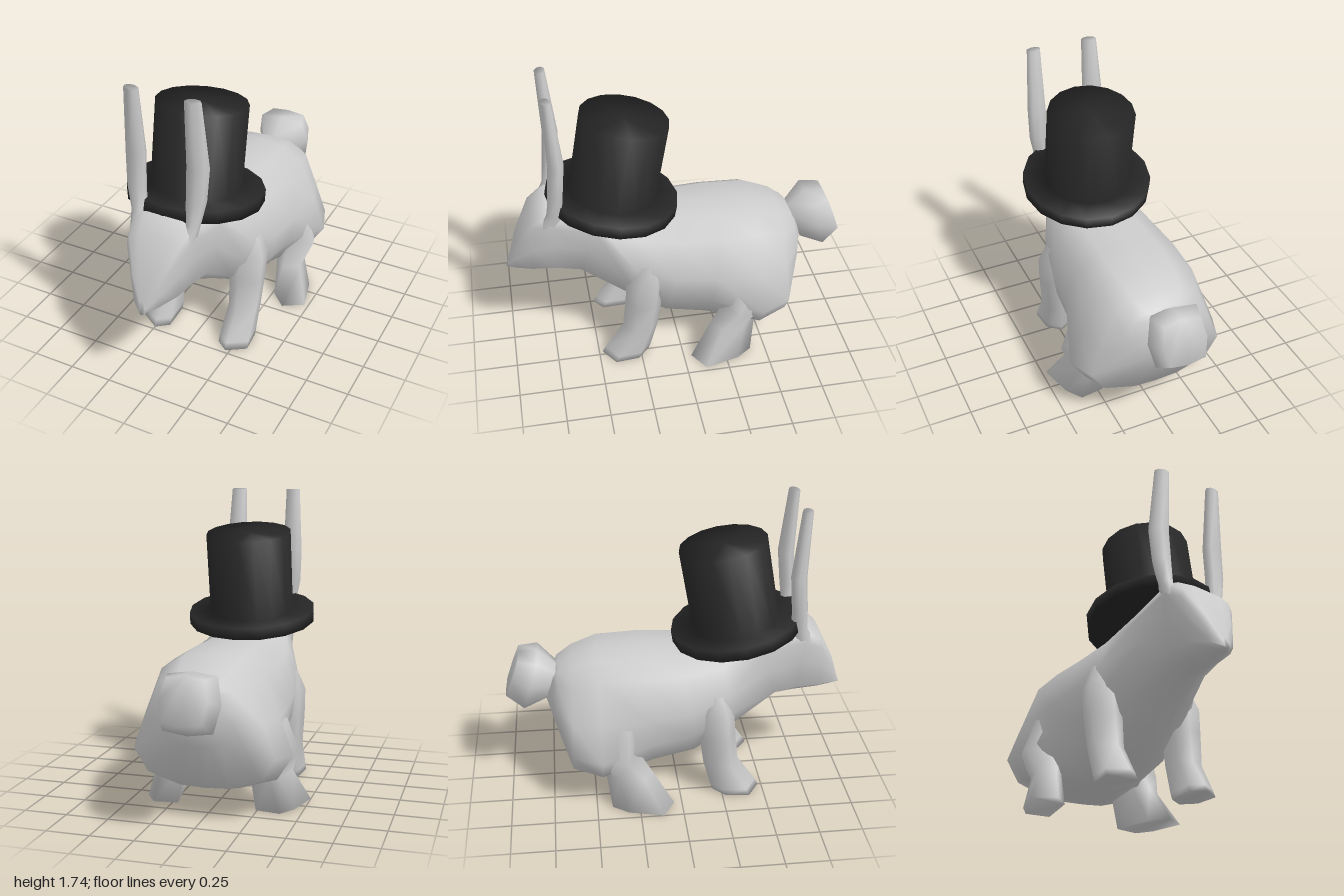
import * as THREE from 'three';

const fur = new THREE.MeshStandardMaterial({ color: 0xcccccc });
fur.name = 'fur';
const felt = new THREE.MeshStandardMaterial({ color: 0x262626 });
felt.name = 'hat felt';

const MID = -0.012; // centre line of the animal

// Half sections from top to bottom: [share of half width, share of height]
const FACE = [[0, 1], [0.55, 0.98], [0.9, 0.92], [1, 0.8], [0.93, 0.52], [0.83, 0.18], [0.4, 0.05], [0, 0]];
const BARREL = [[0, 1], [0.45, 0.985], [0.82, 0.87], [1, 0.56], [0.92, 0.32], [0.64, 0.1], [0.3, 0.01], [0, 0]];
const HAUNCH = [[0, 1], [0.36, 0.985], [0.64, 0.88], [0.84, 0.56], [1, 0.29], [0.8, 0.1], [0.34, 0.01], [0, 0]];
const BOX = [[0, 1], [0.82, 0.94], [1, 0.5], [0.82, 0.06], [0, 0]];
// Level limb sections: [inner to outer, back to front], both from -1 to 1
const PAW = [[-0.2, 1], [1, 0.5], [0.85, -0.5], [0, -1], [-0.9, -0.65], [-1, 0.6]];
const SPLAYED = [[0.06, 1], [1, 0.6], [0.6, -0.5], [0.1, -1], [-1, -0.9], [-0.65, 0.5]];
const OVAL = Array.from({ length: 8 }, (_, i) => [Math.sin(i * Math.PI / 4), Math.cos(i * Math.PI / 4)]);

// Smooth skin over rings of points, closed at the chosen ends
function loft(rings, capStart, capEnd) {
  const n = rings[0].length, last = (rings.length - 1) * n, idx = [];
  for (let i = 0; i < last; i += n) {
    for (let j = 0; j < n; j++) {
      const a = i + j, b = i + (j + 1) % n;
      idx.push(a, b, b + n, a, b + n, a + n);
    }
  }
  for (let j = 1; j < n - 1; j++) {
    if (capStart) idx.push(0, j + 1, j);
    if (capEnd) idx.push(last, last + j, last + j + 1);
  }
  const g = new THREE.BufferGeometry();
  g.setAttribute('position', new THREE.Float32BufferAttribute(rings.flat(2), 3));
  g.setIndex(idx);
  g.computeVertexNormals();
  return g;
}

// Upright section, mirrored across the body and leaning from top to bottom:
// [half section, zTop, yTop, zBottom, yBottom, halfWidth]
function bodyRing([half, zt, yt, zb, yb, w]) {
  const mirrored = half.slice(1, -1).reverse().map(([x, t]) => [-x, t]);
  return [...half, ...mirrored].map(([x, t]) =>
    [x * w, yb + (yt - yb) * t, zb + (zt - zb) * t]);
}

// Level limb section: [y, xInner, xOuter, zBack, zFront], turned by twist
function limbRing([y, xi, xo, zb, zf], side, section, twist) {
  const s = Math.sin(twist), c = Math.cos(twist);
  const ring = section.map(([u, v]) => {
    const dx = u * (xo - xi) / 2, dz = v * (zf - zb) / 2;
    return [side * ((xi + xo) / 2 + dx * c + dz * s), y, (zb + zf) / 2 - dx * s + dz * c];
  });
  return side > 0 ? ring : ring.reverse();
}

const BODY = [
  [FACE, 0.975, 0.63, 1.0, 0.56, 0.02],
  [FACE, 0.93, 0.77, 0.95, 0.56, 0.09],
  [FACE, 0.84, 0.96, 0.85, 0.55, 0.165],
  [FACE, 0.74, 1.04, 0.70, 0.54, 0.195],
  [FACE, 0.45, 0.97, 0.60, 0.53, 0.21],
  [BARREL, 0.23, 0.90, 0.34, 0.38, 0.31],
  [BARREL, 0.0, 0.89, 0.10, 0.21, 0.355],
  [BARREL, -0.22, 0.90, -0.15, 0.155, 0.37],
  [HAUNCH, -0.46, 0.89, -0.46, 0.14, 0.46],
  [HAUNCH, -0.61, 0.84, -0.63, 0.19, 0.40],
  [BARREL, -0.69, 0.79, -0.73, 0.45, 0.22],
  [BARREL, -0.72, 0.76, -0.77, 0.58, 0.10],
];
const TAIL = [
  [BOX, -0.70, 0.78, -0.77, 0.59, 0.10],
  [BOX, -0.80, 0.875, -0.90, 0.555, 0.17],
  [BOX, -0.91, 0.875, -1.0, 0.63, 0.13],
];
const FRONT_LEG = [
  [0, 0.165, 0.345, 0.20, 0.48],
  [0.04, 0.165, 0.345, 0.185, 0.46],
  [0.21, 0.175, 0.345, 0.14, 0.35],
  [0.40, 0.17, 0.36, 0.115, 0.33],
  [0.56, 0.17, 0.365, 0.10, 0.32],
  [0.68, 0.17, 0.32, 0.10, 0.28],
];
const HIND_LEG = [
  [0, 0.23, 0.488, -0.41, -0.045],
  [0.20, 0.21, 0.405, -0.44, -0.17],
  [0.34, 0.14, 0.455, -0.54, -0.25],
  [0.53, 0.20, 0.385, -0.50, -0.25],
];
const EAR = [
  [0.92, 0.09, 0.19, 0.65, 0.80],
  [1.02, 0.12, 0.205, 0.655, 0.745],
  [1.16, 0.12, 0.235, 0.645, 0.735],
  [1.35, 0.12, 0.245, 0.63, 0.72],
  [1.735, 0.13, 0.22, 0.675, 0.735],
];

export function createModel() {
  const model = new THREE.Group();
  const add = (name, geometry, material, parent = model) => {
    const mesh = new THREE.Mesh(geometry, material);
    mesh.name = name;
    parent.add(mesh);
    return mesh;
  };

  const animal = new THREE.Group();
  animal.name = 'animal';
  animal.position.x = MID;
  model.add(animal);

  add('bodyAndHead', loft(BODY.map(bodyRing), true, true), fur, animal);
  add('tail', loft(TAIL.map(bodyRing), false, true), fur, animal);

  // Paired limbs and ears: legs closed at the sole, ears at the tip
  for (const [side, label] of [[1, 'left'], [-1, 'right']]) {
    const limb = (name, rows, section, twist, sole) => {
      const rings = rows.map(r => limbRing(r, side, section, twist));
      add(label + name, loft(rings, sole, !sole), fur, animal);
    };
    limb('FrontLeg', FRONT_LEG, PAW, 0, true);
    limb('HindLeg', HIND_LEG, SPLAYED, 0, true);
    limb('Ear', EAR, OVAL, 0.2, false);
  }

  // Top hat turned in one piece, tipped backwards
  const profile = [[0, -0.035], [0.385, -0.035], [0.385, 0.035], [0.255, 0.035], [0.255, 0.515], [0, 0.515]]
    .map(([r, y]) => new THREE.Vector2(r, y));
  const hat = add('topHat', new THREE.LatheGeometry(profile, 16), felt);
  hat.position.set(-0.015, 0.99, 0.36);
  hat.rotation.x = -0.172;

  return model;
}
